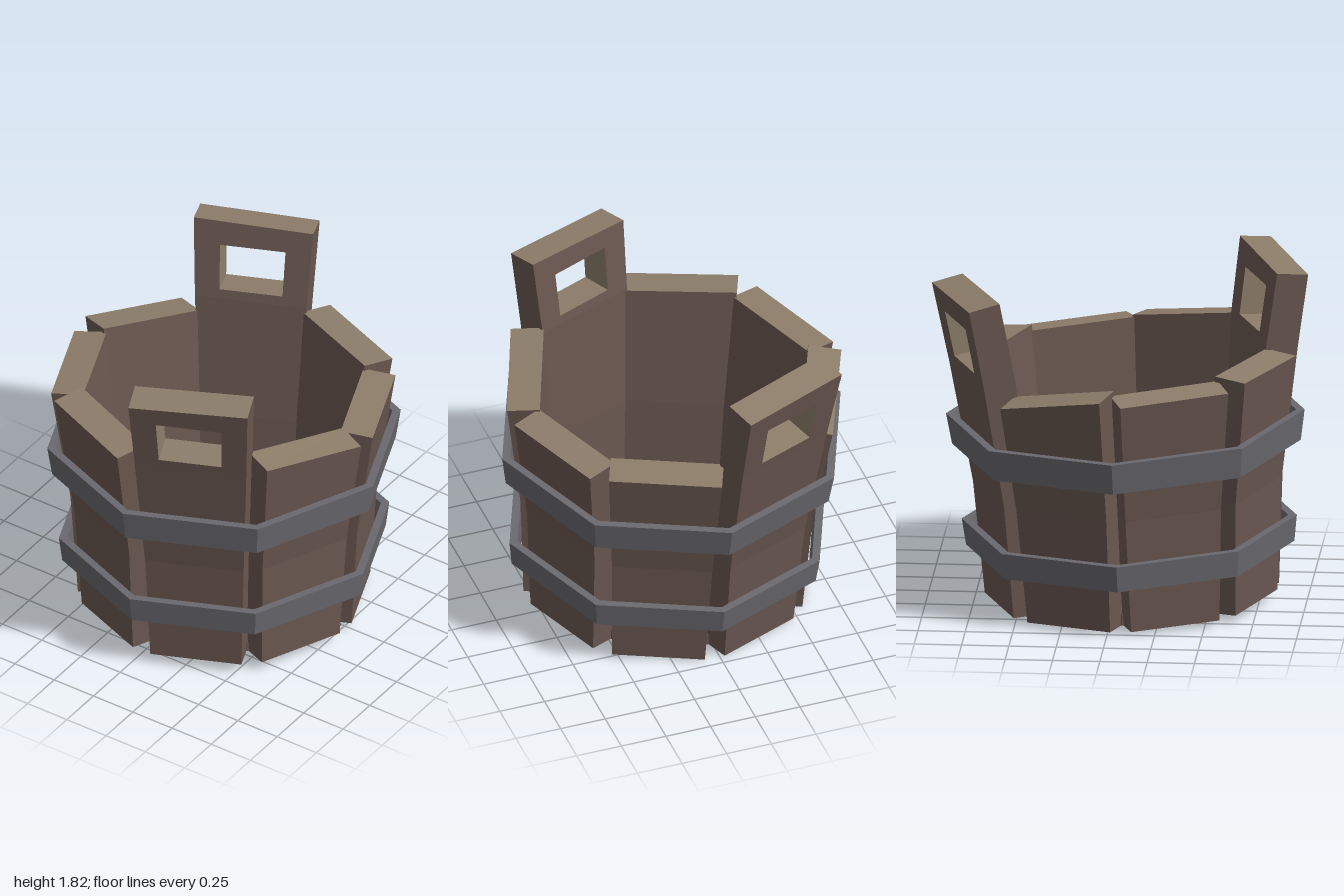
import * as THREE from 'three';

const wood = new THREE.MeshStandardMaterial({ color: 0x6b5851 });
wood.name = 'dark wood';
const cutWood = new THREE.MeshStandardMaterial({ color: 0x8d7d6a });
cutWood.name = 'cut wood';
const iron = new THREE.MeshStandardMaterial({ color: 0x6a696f });
iron.name = 'iron';

// Stave profile: height, outer distance from axis, width, thickness
const PROFILE = [
  [0, 0.736, 0.49, 0.14],
  [0.62, 0.772, 0.53, 0.145],
  [1.3, 0.87, 0.6, 0.175],
  [1.75, 0.945, 0.645, 0.17],
];

function profileAt(y) {
  let i = 0;
  while (i < PROFILE.length - 2 && y > PROFILE[i + 1][0]) i++;
  const [p, q] = [PROFILE[i], PROFILE[i + 1]];
  const f = (y - p[0]) / (q[0] - p[0]);
  return [1, 2, 3].map((k) => THREE.MathUtils.lerp(p[k], q[k], f));
}

function flat(geometry) {
  const g = geometry.index ? geometry.toNonIndexed() : geometry;
  g.computeVertexNormals();
  return g;
}

// A box bent onto the stave profile. u runs -1..1 across the stave;
// each row is [height at u = -1, height at u = 1]. cutFaces: box sides in cut wood.
function block(name, u0, u1, rows, cutFaces) {
  const n = rows.length - 1;
  const g = new THREE.BoxGeometry(1, 1, 1, 1, n, 1);
  const pos = g.attributes.position;
  for (let i = 0; i < pos.count; i++) {
    const u = THREE.MathUtils.lerp(u0, u1, pos.getX(i) + 0.5);
    const row = rows[Math.round((pos.getY(i) + 0.5) * n)];
    const depth = 0.5 - pos.getZ(i);
    const y = THREE.MathUtils.lerp(row[0], row[1], (u + 1) / 2);
    const [out, width, thick] = profileAt(y);
    // end cuts are square to the leaning stave
    const lean = depth * 0.026 * (y / 1.7);
    pos.setXYZ(i, (u * width) / 2, y + lean, out - depth * thick);
  }
  const materials = [0, 1, 2, 3, 4, 5].map((f) => (cutFaces.includes(f) ? cutWood : wood));
  const mesh = new THREE.Mesh(flat(g), materials);
  mesh.name = name;
  return mesh;
}

const RIGHT = 0, LEFT = 1, TOP = 2, BOTTOM = 3;
const HOLE = { low: 1.35, high: 1.6, half: 0.56 };

// Top heights of the eight staves at both edges, going round from the front
const STAVES = [
  { top: [1.70, 1.725], handle: true },
  { top: [1.325, 1.25] },
  { top: [1.24, 1.24] },
  { top: [1.27, 1.27] },
  { top: [1.72, 1.737], handle: true },
  { top: [1.21, 1.31] },
  { top: [1.28, 1.285] },
  { top: [1.315, 1.29] },
];

function stave({ top, handle }) {
  const group = new THREE.Group();
  const low = [HOLE.low, HOLE.low];
  const high = [HOLE.high, HOLE.high];
  const rows = [[0, 0], [0.62, 0.62]];
  if (!handle) {
    group.add(block('staveBoard', -1, 1, [...rows, top], [TOP]));
    return group;
  }
  // tall stave with a grip hole framed by two posts and a rail
  group.add(
    block('staveBoard', -1, 1, [...rows, [1.3, 1.3], low], [TOP]),
    block('handlePost', -1, -HOLE.half, [low, high], [RIGHT]),
    block('handlePost', HOLE.half, 1, [low, high], [LEFT]),
    block('handleRail', -1, 1, [high, top], [TOP, BOTTOM]),
  );
  return group;
}

// Eight-sided iron hoop with a flared rectangular section
function hoop(name, y0, y1, r0, r1) {
  const t = 0.045;
  const section = [[r0, y0], [r1, y1], [r1 - t, y1], [r0 - t, y0], [r0, y0]];
  const g = new THREE.LatheGeometry(section.map(([x, y]) => new THREE.Vector2(x, y)), 8);
  const mesh = new THREE.Mesh(flat(g), iron);
  mesh.name = name;
  return mesh;
}

export function createModel() {
  const bucket = new THREE.Group();
  bucket.name = 'bucket';

  STAVES.forEach((spec, i) => {
    const s = stave(spec);
    s.name = spec.handle ? 'handleStave' : 'stave';
    s.rotation.y = Math.PI / 8 + (i * Math.PI) / 4;
    bucket.add(s);
  });

  // floor board closing the bottom
  const floor = new THREE.Mesh(flat(new THREE.CylinderGeometry(0.66, 0.66, 0.06, 8)), wood);
  floor.name = 'floor';
  floor.position.y = 0.031;
  bucket.add(floor);

  bucket.add(hoop('lowerHoop', 0.25, 0.393, 0.868, 0.886));
  bucket.add(hoop('upperHoop', 0.808, 0.976, 0.922, 0.948));

  // the whole bucket leans slightly
  bucket.rotation.set(-0.034, 0, 0.024);
  bucket.position.set(0.03, 0.033, 0.07);

  const model = new THREE.Group();
  model.name = 'woodenBucket';
  model.add(bucket);
  return model;
}
